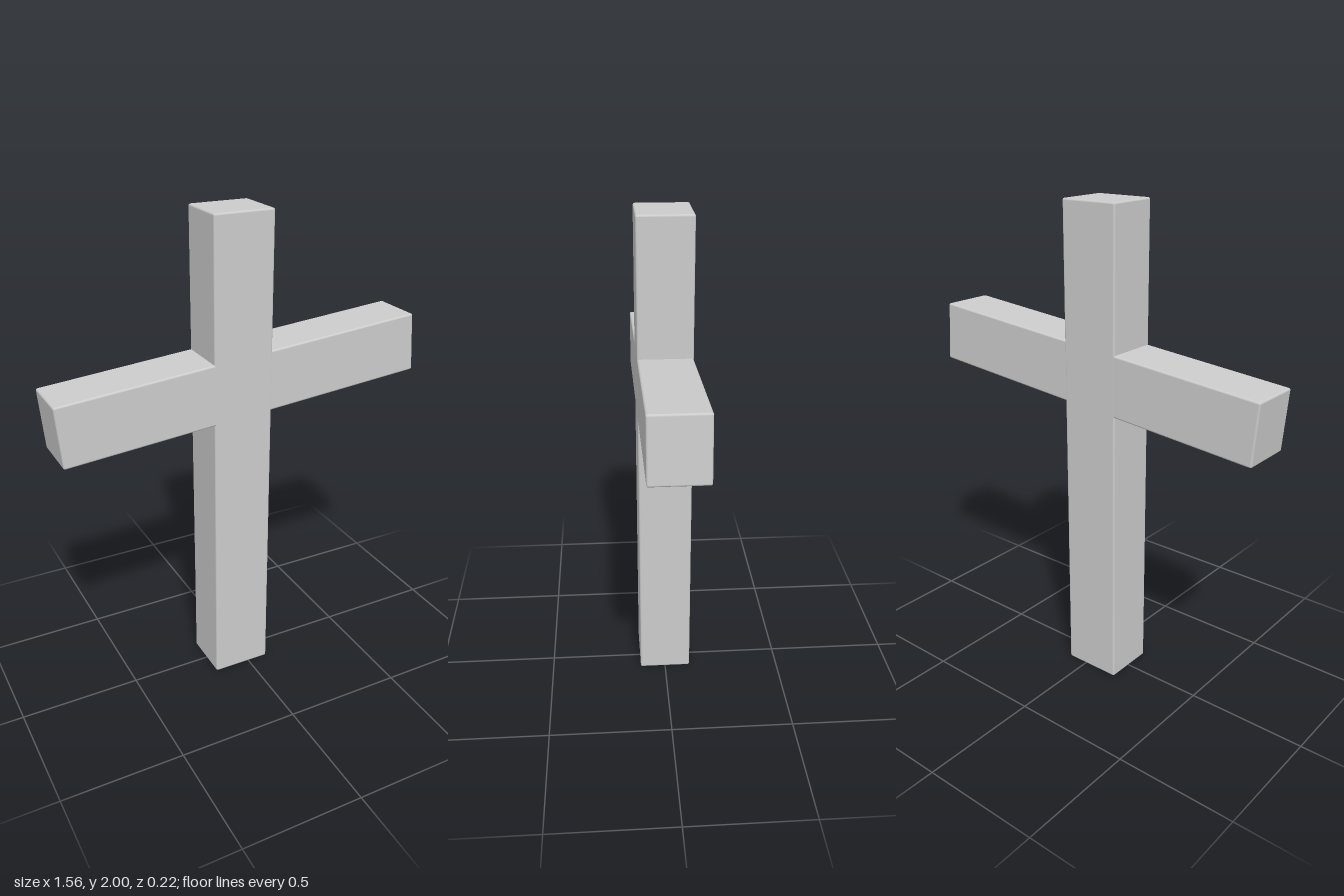
import * as THREE from 'three';
import { RoundedBoxGeometry } from 'three/addons/geometries/RoundedBoxGeometry.js';

const material = new THREE.MeshStandardMaterial({ color: 0xcccccc });

// Squared timber with softly rounded edges, tilted about z
function timber(name, [w, h, d], [x, y], tilt) {
  const mesh = new THREE.Mesh(new RoundedBoxGeometry(w, h, d, 3, 0.008), material);
  mesh.name = name;
  mesh.position.set(x, y, 0);
  mesh.rotation.z = tilt;
  return mesh;
}

export function createModel() {
  const group = new THREE.Group();
  group.name = 'cross';

  // Upright, leaning very slightly
  group.add(timber('post', [0.248, 1.999, 0.218], [-0.03, 1], -0.005));

  // Crooked arm, a hair thinner so that the faces do not coincide
  group.add(timber('crossbeam', [1.546, 0.248, 0.217], [-0.001, 1.326], 0.079));

  return group;
}
